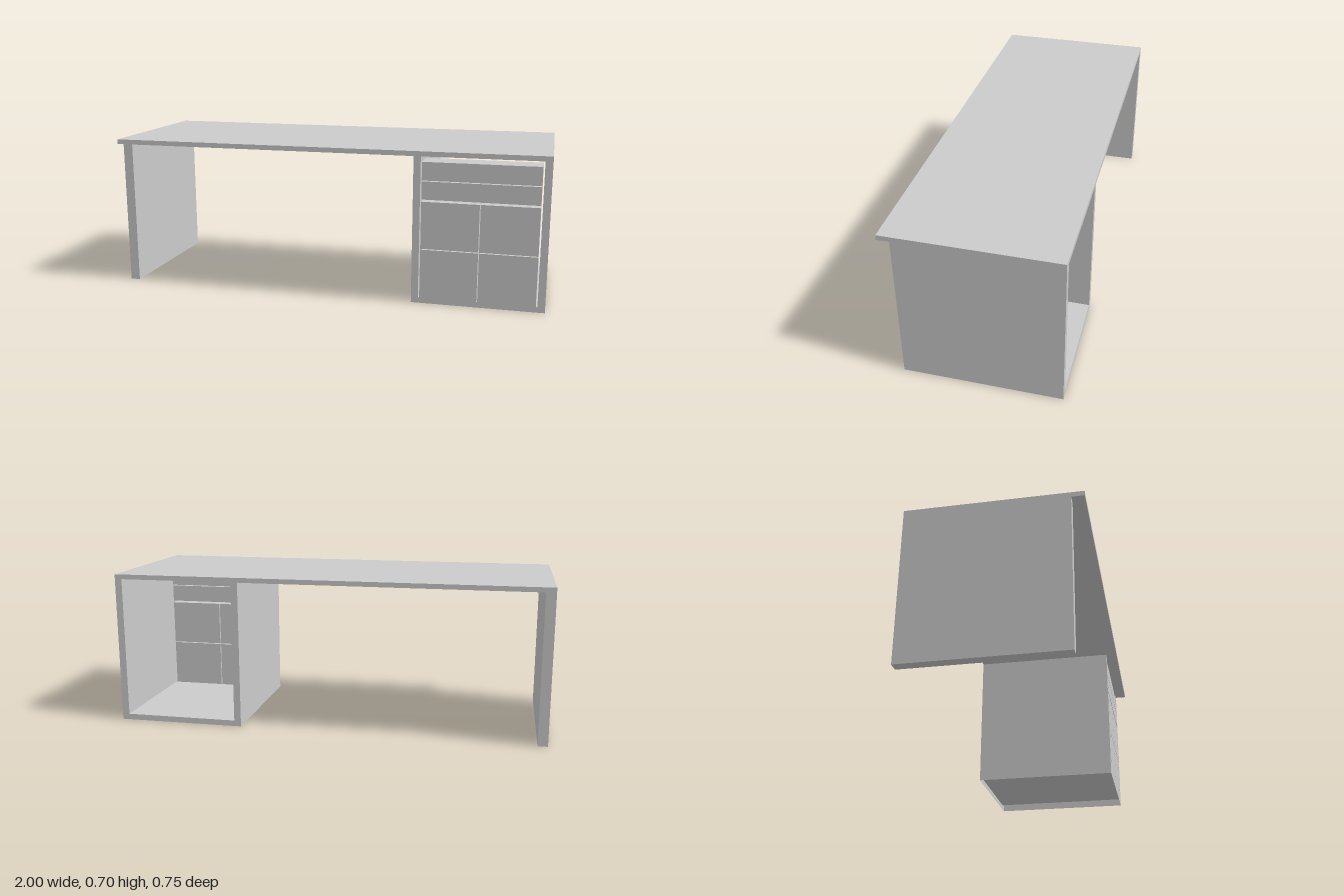
import * as THREE from 'three';

const BACK = -0.375, FRONT = 0.32, UNDER = 0.683;

export function createModel() {
  const desk = new THREE.Group();
  desk.name = 'desk';
  const grey = new THREE.MeshStandardMaterial({ color: 0xcccccc, flatShading: true });
  const shellGrey = new THREE.MeshStandardMaterial({ color: 0xcccccc, flatShading: true, side: THREE.DoubleSide });

  // Box given by its limits on each axis
  function block(name, x0, x1, y0, y1, z0, z1) {
    const mesh = new THREE.Mesh(new THREE.BoxGeometry(x1 - x0, y1 - y0, z1 - z0), grey);
    mesh.position.set((x0 + x1) / 2, (y0 + y1) / 2, (z0 + z1) / 2);
    mesh.name = name;
    desk.add(mesh);
  }

  // Top overhangs the supports at the front
  block('tabletop', -1, 1, UNDER, 0.705, BACK, 0.375);
  block('legPanel', -1, -0.955, 0, UNDER, BACK, FRONT);

  // Cabinet: U-shaped hollow shell, open at the back and underneath
  const floorY = 0.027, inL = 0.437, inR = 0.967;
  const profile = new THREE.Shape([
    [0.405, 0], [1, 0], [1, UNDER], [inR, UNDER], [inR, floorY],
    [inL, floorY], [inL, UNDER], [0.405, UNDER],
  ].map(([x, y]) => new THREE.Vector2(x, y)));
  const solid = new THREE.ExtrudeGeometry(profile, { depth: FRONT - BACK, bevelEnabled: false }).toNonIndexed();
  const p = solid.attributes.position;
  const kept = [];
  for (let i = 0; i < p.count; i += 3) {
    const isUnderside = [0, 1, 2].every(k => Math.abs(p.getY(i + k)) < 1e-6);
    if (isUnderside) continue;
    for (let k = 0; k < 3; k++) kept.push(p.getX(i + k), p.getY(i + k), p.getZ(i + k) + BACK);
  }
  const shell = new THREE.BufferGeometry();
  shell.setAttribute('position', new THREE.Float32BufferAttribute(kept, 3));
  shell.computeVertexNormals();
  const cabinet = new THREE.Mesh(shell, shellGrey);
  cabinet.name = 'cabinetFrame';
  desk.add(cabinet);

  // Drawer and door fronts, flush with the cabinet and separated by thin gaps
  const left = 0.443, right = 0.96, mid = 0.7025, gap = 0.002, inner = 0.21;
  block('upperDrawer', left, right, 0.565 + gap, 0.65, inner, FRONT);
  block('lowerDrawer', left, right, 0.481, 0.565 - gap, inner, FRONT);
  for (const [row, y0, y1] of [['upper', 0.253 + gap, 0.471], ['lower', floorY, 0.253 - gap]]) {
    block(row + 'RightDoor', left, mid - gap, y0, y1, inner, FRONT);
    block(row + 'LeftDoor', mid + gap, right, y0, y1, inner, FRONT);
  }
  return desk;
}
